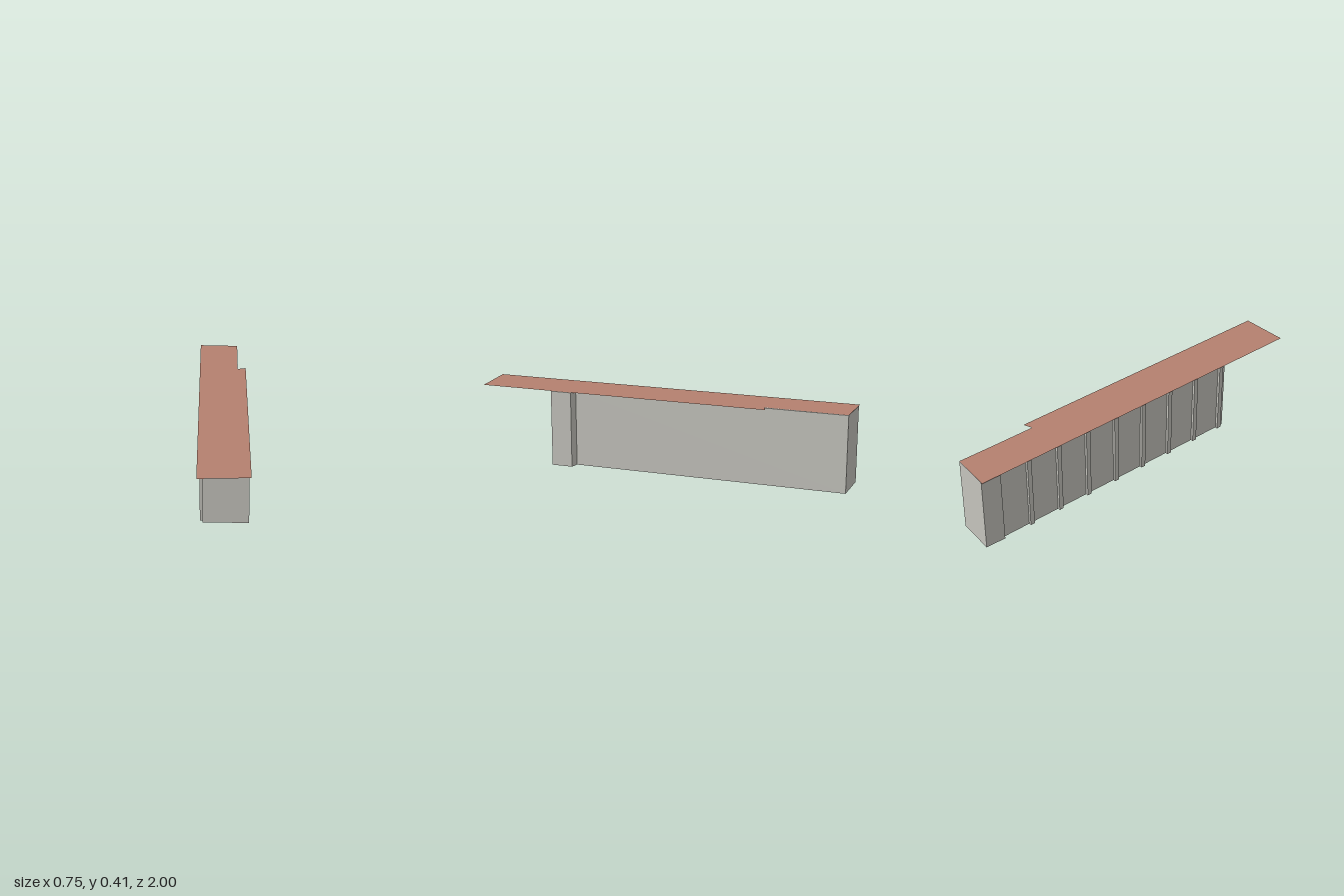
import * as THREE from 'three';

const HEIGHT = 0.414;

// Plan outline given as [x, z] points; rotated flat so that y is up.
const plan = (points) => new THREE.Shape(points.map(([x, z]) => new THREE.Vector2(x, -z)));

export function createModel() {
  const group = new THREE.Group();
  const wallPaint = new THREE.MeshStandardMaterial({ color: 0xc4c3bc });
  wallPaint.name = 'wall grey';
  const roofPaint = new THREE.MeshStandardMaterial({ color: 0xb5806f, side: THREE.DoubleSide });
  roofPaint.name = 'roof red';

  // Ribbed side, walked from back to front
  const slope = 0.257;
  const wallZ = (x) => 0.595 + (x - 0.05) / slope;
  const out = [-0.0135, 0.0035]; // rib projection
  const outline = [[-0.16, -1], [-0.361, -0.961]];
  for (let i = 0; i < 9; i++) {
    const x = -0.323 + 0.0459 * i; // front foot of the rib
    const z = wallZ(x);
    if (i > 0) {
      const bx = x - 0.0062;
      const bz = wallZ(bx);
      outline.push([bx, bz], [bx + out[0], bz + out[1]]);
    }
    outline.push([x + out[0], z + out[1]], [x, z]);
  }
  // Front end, short projecting pier and plain long side
  outline.push([0.05, 0.595], [0.275, 0.54], [0.247, 0.43], [0.201, 0.43]);

  const wallGeometry = new THREE.ExtrudeGeometry(plan(outline), { depth: HEIGHT - 0.002, bevelEnabled: false });
  wallGeometry.rotateX(-Math.PI / 2);
  const walls = new THREE.Mesh(wallGeometry, wallPaint);
  walls.name = 'ribbedWalls';
  group.add(walls);

  // Flat roof sheet overhanging the front and one side
  const roofGeometry = new THREE.ShapeGeometry(plan([
    [-0.375, -0.961], [-0.16, -1], [-0.058, -0.575], [-0.015, -0.605], [0.373, 0.925], [0.13, 0.996],
  ]));
  roofGeometry.rotateX(-Math.PI / 2);
  const roof = new THREE.Mesh(roofGeometry, roofPaint);
  roof.name = 'flatRoof';
  roof.position.y = HEIGHT;
  group.add(roof);

  return group;
}
